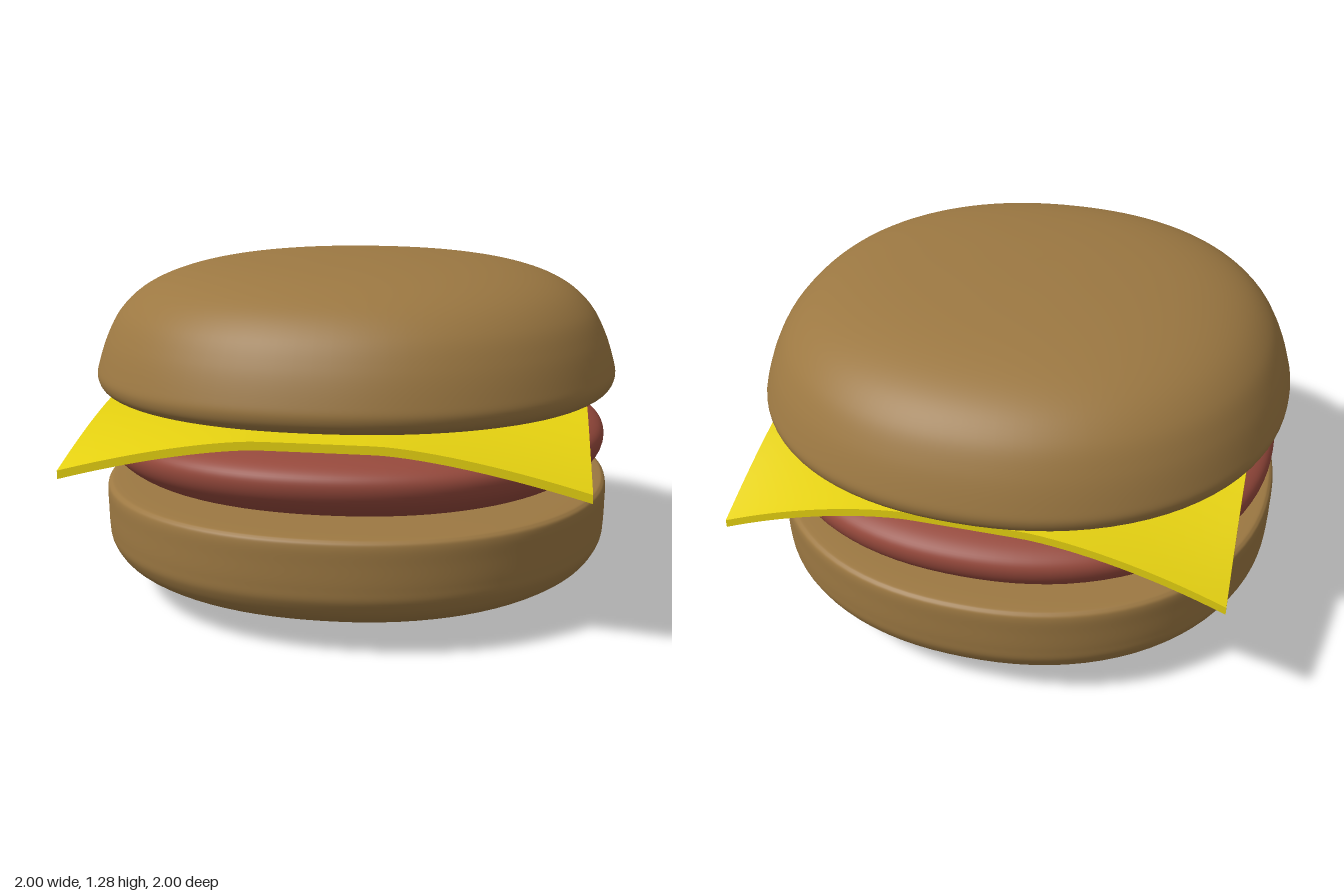
import * as THREE from 'three';
import { mergeVertices } from 'three/addons/utils/BufferGeometryUtils.js';

const material = (color) => new THREE.MeshStandardMaterial({ color });
const bunMaterial = material(0x9c7842);
const pattyMaterial = material(0x96493c);
const cheeseMaterial = material(0xe4d010);

// Smooth round slab, its profile running bottom to top, with a slightly squared plan
function roundLayer(name, profile, mat) {
  const curve = new THREE.SplineCurve(profile.map(([r, y]) => new THREE.Vector2(r, y)));
  const points = curve.getPoints(profile.length * 6);
  points.forEach((p) => { p.x = Math.max(p.x, 0); });
  let geometry = new THREE.LatheGeometry(points, 96);
  const pos = geometry.attributes.position;
  const n = 2.17;
  for (let i = 0; i < pos.count; i++) {
    const x = pos.getX(i), z = pos.getZ(i);
    const r = Math.hypot(x, z);
    if (r < 1e-6) continue;
    const k = Math.pow(Math.abs(x / r) ** n + Math.abs(z / r) ** n, -1 / n);
    pos.setX(i, x * k);
    pos.setZ(i, z * k);
  }
  // Weld the seam and poles so the normals are continuous
  geometry.deleteAttribute('uv');
  geometry.deleteAttribute('normal');
  geometry = mergeVertices(geometry, 1e-5);
  geometry.computeVertexNormals();
  const mesh = new THREE.Mesh(geometry, mat);
  mesh.name = name;
  return mesh;
}

// Thin square slice, flat in the middle with four drooping corners
function cheeseSlice() {
  const half = 0.9;
  const geometry = new THREE.BoxGeometry(2 * half, 0.03, 2 * half, 40, 1, 40);
  const pos = geometry.attributes.position;
  const ramp = (v, start, power) =>
    Math.pow(Math.max(0, (Math.abs(v) - start) / (half - start)), power);
  for (let i = 0; i < pos.count; i++) {
    const x = pos.getX(i), y = pos.getY(i), z = pos.getZ(i);
    const ex = ramp(x, 0.2, 1.5), ez = ramp(z, 0.28, 1.4);
    // The two back corners hang unevenly
    const droop = z > 0 ? 0.16 : 0.16 - 0.038 * (x / half);
    const cornerDrop = z > 0 ? droop : droop + 0.076 * Math.max(0, x / half);
    const drop = 0.032 * ez * (1 - ex) + cornerDrop * ex * ez;
    const bow = (v) => 1 - 0.012 * (1 - (v / half) ** 2);
    pos.setXYZ(i, x * bow(z), 0.748 + y - drop, z * bow(x));
  }
  geometry.computeVertexNormals();
  const mesh = new THREE.Mesh(geometry, cheeseMaterial);
  mesh.name = 'cheeseSlice';
  return mesh;
}

export function createModel() {
  const burger = new THREE.Group();
  burger.name = 'burger';

  burger.add(roundLayer('bottomBun', [
    [0, 0], [0.3, 0.01], [0.6, 0.033], [0.8, 0.075], [0.92, 0.135], [0.97, 0.2],
    [0.98, 0.26], [0.982, 0.34], [0.982, 0.4], [0.972, 0.423], [0.94, 0.431],
    [0.8, 0.434], [0.4, 0.435], [0, 0.435],
  ], bunMaterial));

  burger.add(roundLayer('patty', [
    [0, 0.425], [0.4, 0.428], [0.7, 0.44], [0.85, 0.475], [0.94, 0.535],
    [0.967, 0.6], [0.94, 0.648], [0.85, 0.68], [0.65, 0.705], [0.35, 0.718], [0, 0.72],
  ], pattyMaterial));

  burger.add(cheeseSlice());

  burger.add(roundLayer('topBun', [
    [0, 0.76], [0.4, 0.761], [0.75, 0.765], [0.91, 0.773], [0.975, 0.793], [0.999, 0.835],
    [0.99, 0.89], [0.955, 0.99], [0.9, 1.085], [0.81, 1.163], [0.68, 1.218],
    [0.5, 1.255], [0.25, 1.278], [0, 1.285],
  ], bunMaterial));

  return burger;
}
